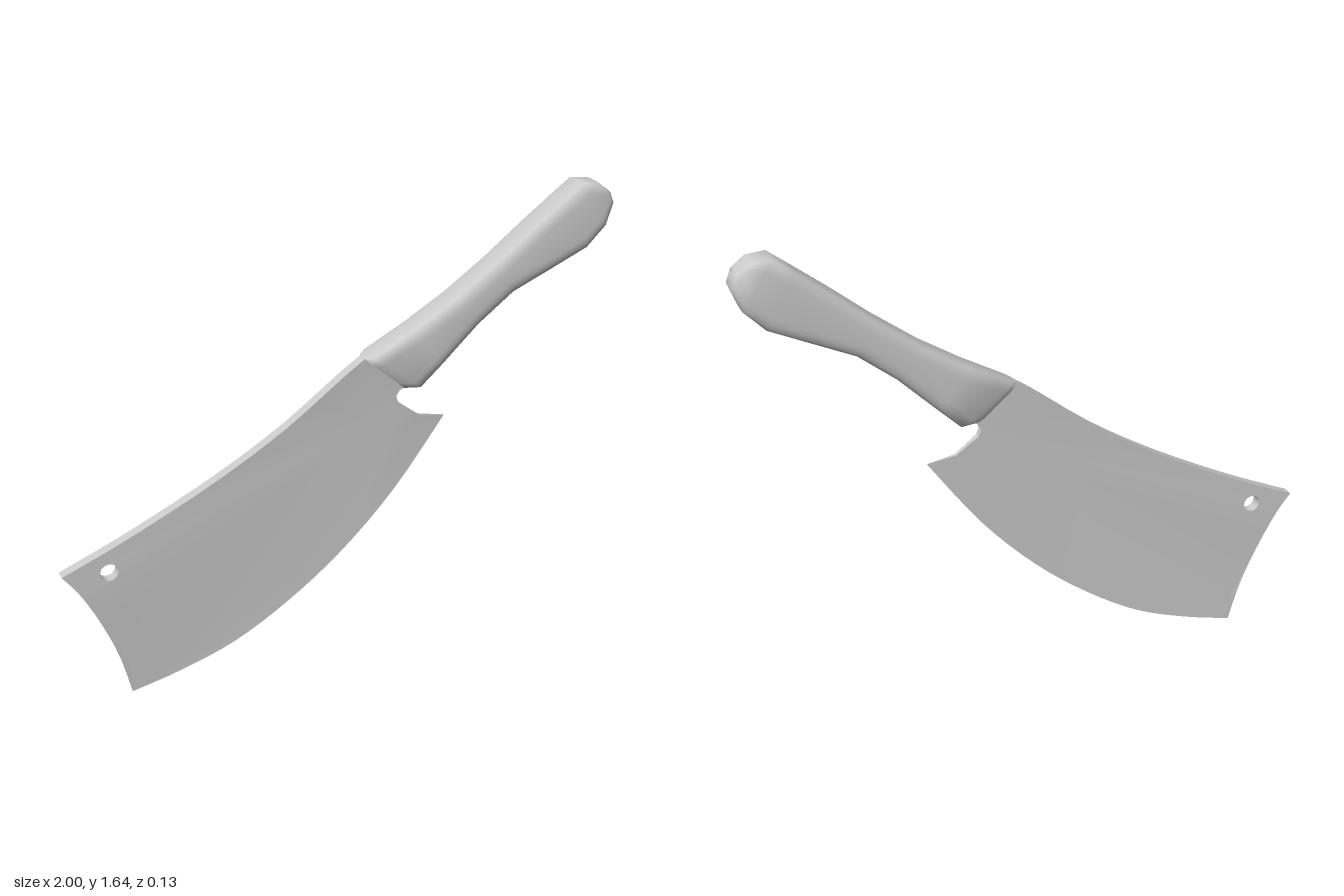
import * as THREE from 'three';
import { toCreasedNormals } from 'three/addons/utils/BufferGeometryUtils.js';

const material = new THREE.MeshStandardMaterial({ color: 0xcccccc });
const vectors = (list) => list.map(([x, y]) => new THREE.Vector2(x, y));

// Blade outline curves
const cuttingEdge = new THREE.SplineCurve(vectors([
  [-0.78, 0], [-0.6, 0.045], [-0.4, 0.117], [-0.2, 0.235], [0, 0.39], [0.2, 0.595], [0.39, 0.85],
])).getPoints(24);
const spine = new THREE.SplineCurve(vectors([
  [0.08, 1.11], [0, 1.055], [-0.2, 0.907], [-0.4, 0.785], [-0.6, 0.68], [-0.8, 0.585], [-1, 0.5],
])).getPoints(18);
const tipEnd = new THREE.SplineCurve(vectors([
  [-1, 0.5], [-0.95, 0.435], [-0.9, 0.345], [-0.85, 0.235], [-0.81, 0.125], [-0.78, 0],
])).getPoints(10);
const heel = vectors([
  [0.29, 0.868], [0.21, 0.927], [0.2, 0.952], [0.212, 0.973], [0.24, 0.985], [0.3, 1.08], [0.2, 1.15],
]);

function edgeDistance(x, y) {
  const p = new THREE.Vector3(x, y, 0), q = new THREE.Vector3();
  let best = Infinity;
  for (let i = 1; i < cuttingEdge.length; i++) {
    const a = cuttingEdge[i - 1], b = cuttingEdge[i];
    new THREE.Line3(new THREE.Vector3(a.x, a.y, 0), new THREE.Vector3(b.x, b.y, 0))
      .closestPointToPoint(p, true, q);
    best = Math.min(best, p.distanceTo(q));
  }
  return best;
}

// Flat plate with a hanging hole, thinned towards the cutting edge
function makeBlade() {
  const shape = new THREE.Shape([...cuttingEdge, ...heel, ...spine, ...tipEnd.slice(1, -1)]);
  const hole = new THREE.Path();
  hole.absarc(-0.84, 0.487, 0.031, 0, Math.PI * 2, true);
  shape.holes.push(hole);
  const geometry = new THREE.ExtrudeGeometry(shape, { depth: 1, bevelEnabled: false, curveSegments: 10 });
  const pos = geometry.attributes.position;
  for (let i = 0; i < pos.count; i++) {
    const d = edgeDistance(pos.getX(i), pos.getY(i));
    const half = Math.max(0.001, 0.021 * Math.pow(Math.min(1, d / 0.42), 0.7));
    pos.setZ(i, pos.getZ(i) > 0.5 ? half : -half);
  }
  return toCreasedNormals(geometry, 0.5);
}

// Rounded rectangle cross-section: [along height, along z]
function roundedSection(halfHeight, halfWidth) {
  const ru = Math.min(0.045, halfHeight * 0.9), rz = Math.min(0.025, halfWidth * 0.9), steps = 4;
  const points = [];
  for (let corner = 0; corner < 4; corner++) {
    const su = corner === 0 || corner === 3 ? 1 : -1, sz = corner < 2 ? 1 : -1;
    for (let s = 0; s <= steps; s++) {
      const a = (corner + s / steps) * Math.PI / 2;
      points.push([su * (halfHeight - ru) + Math.cos(a) * ru, sz * (halfWidth - rz) + Math.sin(a) * rz]);
    }
  }
  return points;
}

// Handle lofted through stations: top x, y, bottom x, y, half width
function makeHandle() {
  const stations = [
    [0.08, 1.11, 0.225, 0.985, 0.046],
    [0.1, 1.121, 0.28, 0.985, 0.06],
    [0.25, 1.2, 0.36, 1.06, 0.063],
    [0.4, 1.29, 0.49, 1.185, 0.063],
    [0.55, 1.397, 0.62, 1.285, 0.063],
    [0.7, 1.515, 0.76, 1.347, 0.063],
    [0.8, 1.59, 0.9, 1.41, 0.063],
    [0.87, 1.642, 0.97, 1.48, 0.063],
    [0.93, 1.638, 1, 1.555, 0.056],
    [0.973, 1.607, 0.988, 1.585, 0.045],
  ];
  const positions = [], index = [];
  let n = 0;
  for (const [tx, ty, bx, by, w] of stations) {
    const cx = (tx + bx) / 2, cy = (ty + by) / 2;
    const h = Math.hypot(tx - bx, ty - by) / 2;
    const ux = (tx - bx) / (2 * h), uy = (ty - by) / (2 * h);
    const section = roundedSection(h, w);
    n = section.length;
    for (const [u, z] of section) positions.push(cx + ux * u, cy + uy * u, z);
  }
  const last = (stations.length - 1) * n;
  for (let k = 0; k < last; k += n) {
    for (let i = 0; i < n; i++) {
      const j = (i + 1) % n;
      index.push(k + i, k + j, k + n + j, k + i, k + n + j, k + n + i);
    }
  }
  // End caps
  for (const s of [stations[0], stations[stations.length - 1]]) {
    positions.push((s[0] + s[2]) / 2, (s[1] + s[3]) / 2, 0);
  }
  const front = last + n, back = front + 1;
  for (let i = 0; i < n; i++) {
    const j = (i + 1) % n;
    index.push(front, j, i, back, last + i, last + j);
  }
  const geometry = new THREE.BufferGeometry();
  geometry.setAttribute('position', new THREE.Float32BufferAttribute(positions, 3));
  geometry.setIndex(index);
  return toCreasedNormals(geometry, 0.9);
}

export function createModel() {
  const group = new THREE.Group();
  group.name = 'cleaver';
  const parts = { blade: makeBlade(), handle: makeHandle() };
  for (const [name, geometry] of Object.entries(parts)) {
    const mesh = new THREE.Mesh(geometry, material);
    mesh.name = name;
    group.add(mesh);
  }
  return group;
}
